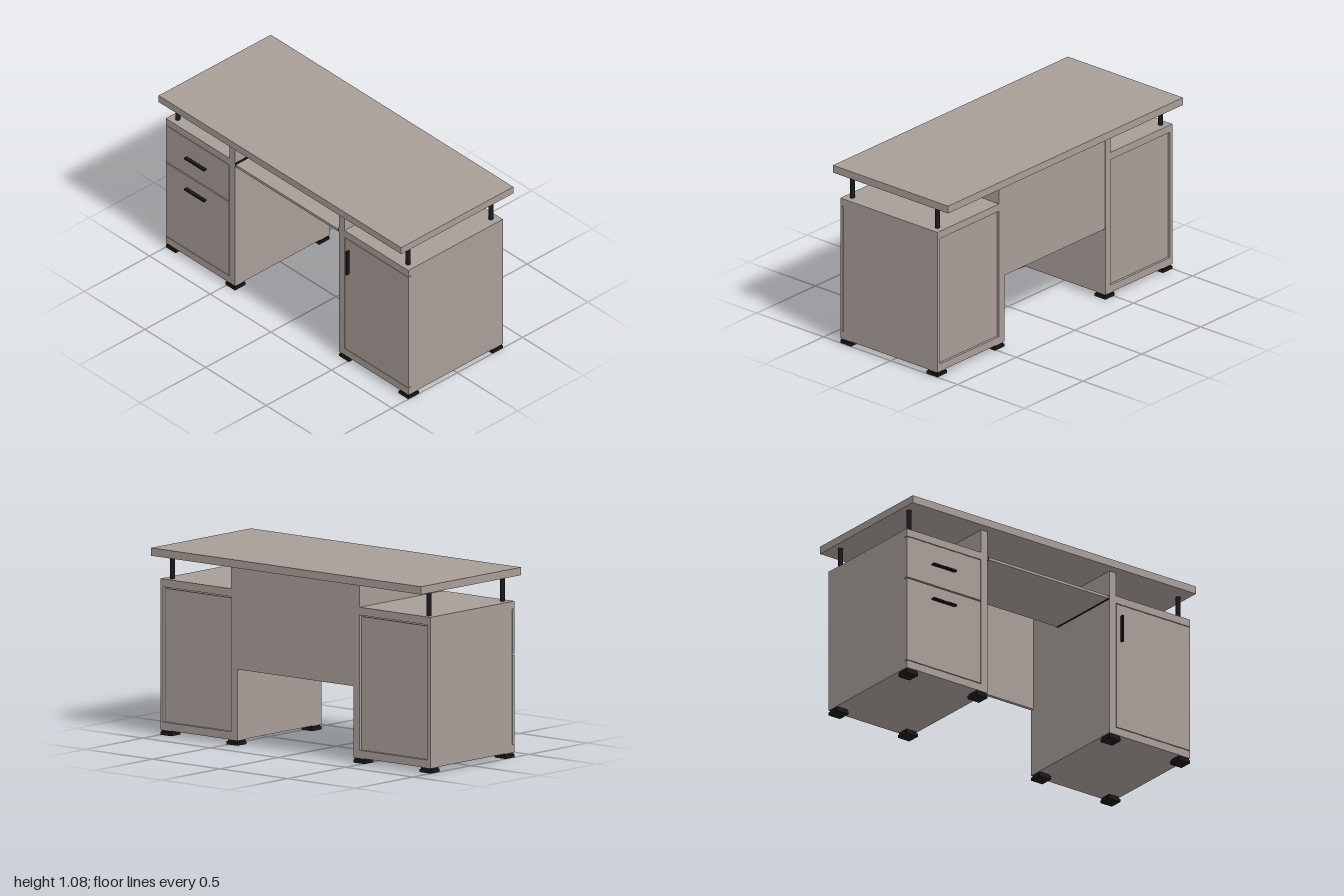
import * as THREE from 'three';

const wood = new THREE.MeshStandardMaterial({ color: 0xa89e98 });
const black = new THREE.MeshStandardMaterial({ color: 0x1a1a1a });

// Box given by its minimum and maximum on each axis
function box(parent, name, [x0, x1], [y0, y1], [z0, z1], material = wood) {
  const mesh = new THREE.Mesh(new THREE.BoxGeometry(x1 - x0, y1 - y0, z1 - z0), material);
  mesh.position.set((x0 + x1) / 2, (y0 + y1) / 2, (z0 + z1) / 2);
  mesh.name = name;
  parent.add(mesh);
  return mesh;
}

// Bar handle with a slim stem and a thicker lip, lying along x
function handle(parent, name, x, y, vertical) {
  const s = new THREE.Shape();
  s.moveTo(0, -0.003);
  [[0.011, -0.003], [0.013, -0.006], [0.021, -0.006], [0.023, -0.004],
    [0.023, 0.004], [0.021, 0.006], [0.013, 0.006], [0.011, 0.003], [0, 0.003]]
    .forEach(([a, b]) => s.lineTo(a, b));
  const geo = new THREE.ExtrudeGeometry(s, { depth: 0.16, bevelEnabled: false });
  geo.translate(0, 0, -0.08).rotateY(-Math.PI / 2);
  const mesh = new THREE.Mesh(geo, black);
  mesh.name = name;
  mesh.position.set(x, y, 0.375);
  if (vertical) mesh.rotation.z = Math.PI / 2;
  parent.add(mesh);
}

// Cabinet carcass on side s (+1 left, -1 right)
function pedestal(s, name) {
  const g = new THREE.Group();
  g.name = name;
  const span = (a, b) => (s > 0 ? [a, b] : [-b, -a]);
  const depth = [-0.35, 0.375];

  box(g, 'base', span(0.43, 1), [0.03, 0.075], depth);
  box(g, 'innerPanel', span(0.43, 0.475), [0.075, 1.03], depth);
  box(g, 'outerPanel', span(0.98, 1), [0.075, 0.845], [-0.35, 0.353]);
  box(g, 'backPanel', span(0.475, 0.98), [0.075, 0.835], [-0.335, -0.32]);
  box(g, 'lid', span(0.475, 1), [0.845, 0.89], depth);

  // Stepped feet under the four corners
  for (const x of [0.43, 0.92]) {
    for (const z of [-0.35, 0.295]) {
      box(g, 'footPad', span(x, x + 0.08), [0, 0.018], [z, z + 0.08], black);
      box(g, 'footNeck', span(x + 0.005, x + 0.075), [0.018, 0.03], [z + 0.005, z + 0.075], black);
    }
  }

  // Round posts carrying the desktop
  for (const z of [0.33, -0.305]) {
    const post = new THREE.Mesh(new THREE.CylinderGeometry(0.014, 0.014, 0.14, 24), black);
    post.position.set(s * 0.95, 0.96, z);
    post.name = 'post';
    g.add(post);
  }
  return g;
}

export function createModel() {
  const desk = new THREE.Group();
  desk.name = 'desk';

  box(desk, 'desktop', [-1, 1], [1.03, 1.075], [-0.43, 0.43]);
  box(desk, 'modestyPanel', [-0.43, 0.43], [0.435, 1.03], [-0.348, -0.328]);

  // Cabinet with a door
  const doorCabinet = pedestal(1, 'doorCabinet');
  box(doorCabinet, 'door', [0.479, 1], [0.079, 0.841], [0.355, 0.375]);
  handle(doorCabinet, 'doorHandle', 0.512, 0.693, true);
  desk.add(doorCabinet);

  // Cabinet with two drawers
  const drawerCabinet = pedestal(-1, 'drawerCabinet');
  box(drawerCabinet, 'upperDrawer', [-1, -0.479], [0.592, 0.841], [0.355, 0.375]);
  box(drawerCabinet, 'lowerDrawer', [-1, -0.479], [0.079, 0.584], [0.355, 0.375]);
  handle(drawerCabinet, 'upperDrawerHandle', -0.745, 0.715);
  handle(drawerCabinet, 'lowerDrawerHandle', -0.745, 0.501);
  desk.add(drawerCabinet);

  // Sliding keyboard tray on side runners
  box(desk, 'keyboardTray', [-0.421, 0.421], [0.858, 0.874], [-0.1, 0.377]);
  for (const [a, b] of [[-0.43, -0.421], [0.421, 0.43]]) {
    box(desk, 'trayRunner', [a, b], [0.856, 0.88], [-0.1, 0.373], black);
  }
  return desk;
}
